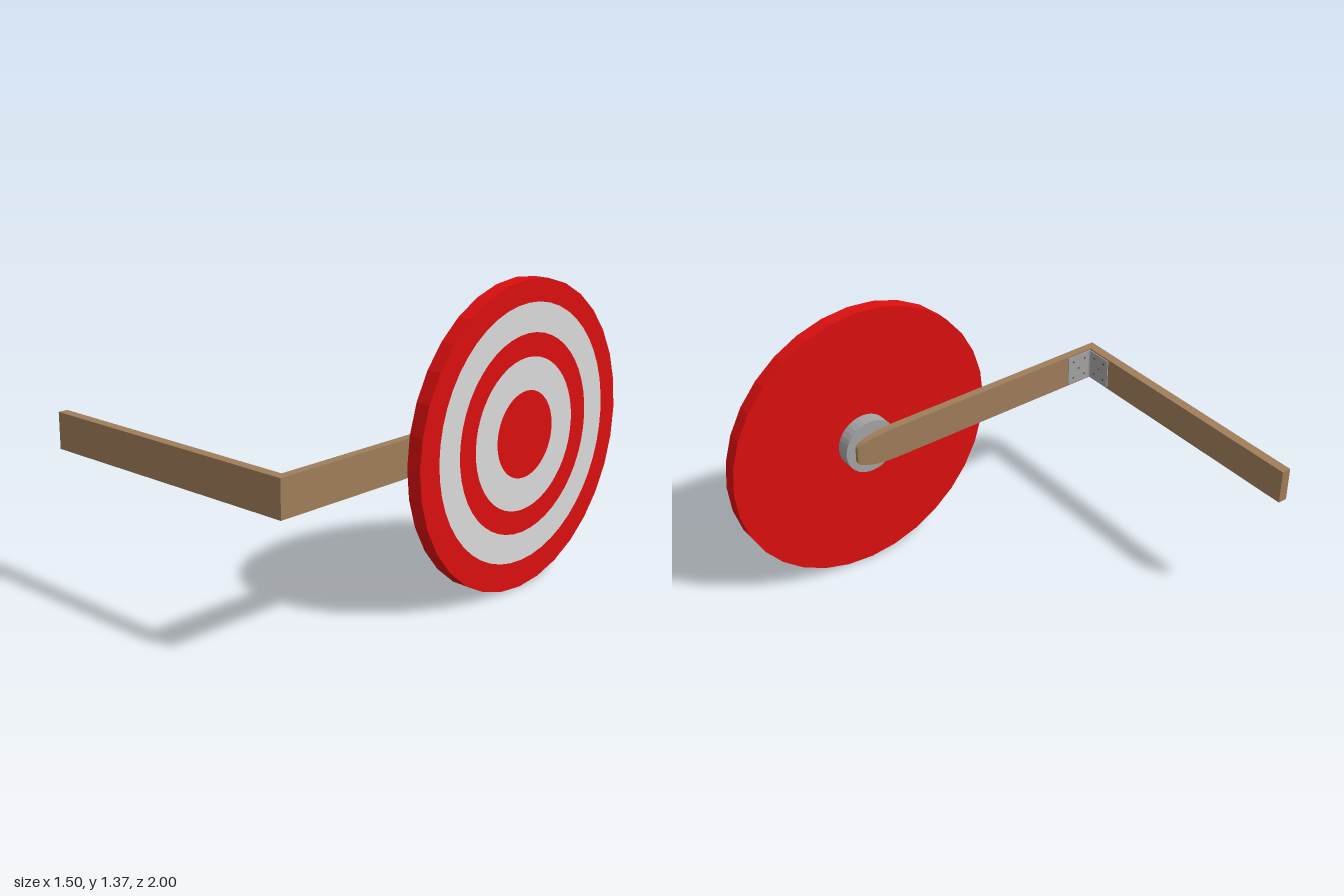
import * as THREE from 'three';

const mat = (name, color, extra = {}) => {
  const m = new THREE.MeshStandardMaterial({ color, ...extra });
  m.name = name;
  return m;
};

export function createModel() {
  const group = new THREE.Group();
  const wood = mat('wood', 0xa07e5a);
  const red = mat('target red', 0xdc0f0f, { flatShading: true });
  const pale = mat('target pale grey', 0xdadada);
  const metal = mat('metal', 0xa4a4a4);
  const dark = mat('screw hole', 0x3a3a3a);

  const add = (name, geometry, material, x = 0, y = 0, z = 0) => {
    const mesh = new THREE.Mesh(geometry, material);
    mesh.name = name;
    mesh.position.set(x, y, z);
    group.add(mesh);
    return mesh;
  };
  // Cylinder lying along x
  const disc = (radius, depth, sides) =>
    new THREE.CylinderGeometry(radius, radius, depth, sides).rotateZ(-Math.PI / 2);

  // Wooden boards
  const boardY = 0.692, boardH = 0.166;
  add('frontBoard', new THREE.BoxGeometry(1.365, boardH, 0.045), wood, -0.0675, boardY, 0.9775);

  // Side board: straight, then a rounded, tapering tip
  const steps = 11;
  const side = new THREE.BoxGeometry(0.04, boardH, 1, 1, 1, steps);
  const p = side.attributes.position;
  for (let i = 0; i < p.count; i++) {
    const k = Math.round((0.5 - p.getZ(i)) * steps);
    const a = Math.max(0, (k - 1) / (steps - 1)) * Math.PI / 2;
    const s = 0.4 + 0.6 * Math.cos(a);
    p.setXYZ(i, p.getX(i) * s, p.getY(i) * s, k === 0 ? 0.955 : -0.2 - 0.213 * Math.sin(a));
  }
  side.computeVertexNormals();
  add('sideBoard', side, wood, 0.595, boardY, 0);

  // Corner bracket: an L-shaped strip with a soft inner bend
  const strip = new THREE.Shape();
  strip.moveTo(0.435, -0.955);
  strip.lineTo(0.575, -0.955);
  strip.lineTo(0.575, -0.815);
  strip.lineTo(0.57, -0.815);
  strip.lineTo(0.57, -0.935);
  strip.quadraticCurveTo(0.57, -0.95, 0.555, -0.95);
  strip.lineTo(0.435, -0.95);
  const bracket = new THREE.ExtrudeGeometry(strip, { depth: 0.15, bevelEnabled: false, curveSegments: 6 });
  add('cornerBracket', bracket.rotateX(-Math.PI / 2), metal, 0, boardY - 0.075, 0);

  // Screw holes on both legs of the bracket
  for (const [d, h] of [[0.04, 0.045], [0.04, -0.045], [0.075, 0], [0.11, 0.045], [0.11, -0.045]]) {
    const hole = new THREE.CircleGeometry(0.005, 10);
    add('screwHole', hole, dark, 0.575 - d, boardY + h, 0.949).rotation.y = Math.PI;
    add('screwHole', hole, dark, 0.569, boardY + h, 0.955 - d).rotation.y = -Math.PI / 2;
  }

  // Hub between the side board and the target
  const hubMetal = mat('hub metal', 0xa4a4a4, { flatShading: true });
  add('hub', disc(0.135, 0.068, 32), hubMetal, 0.648, 0.695, -0.32);

  // Target disc and its painted rings
  add('targetDisc', disc(0.6825, 0.067, 32), red, 0.7145, 0.6825, -0.3175);
  const rings = [[0.44, 0.57], [0.192, 0.337]];
  for (const [inner, outer] of rings) {
    const ring = add('paintedRing', new THREE.RingGeometry(inner, outer, 48), pale, 0.75, 0.694, -0.321);
    ring.rotation.y = Math.PI / 2;
  }
  return group;
}
